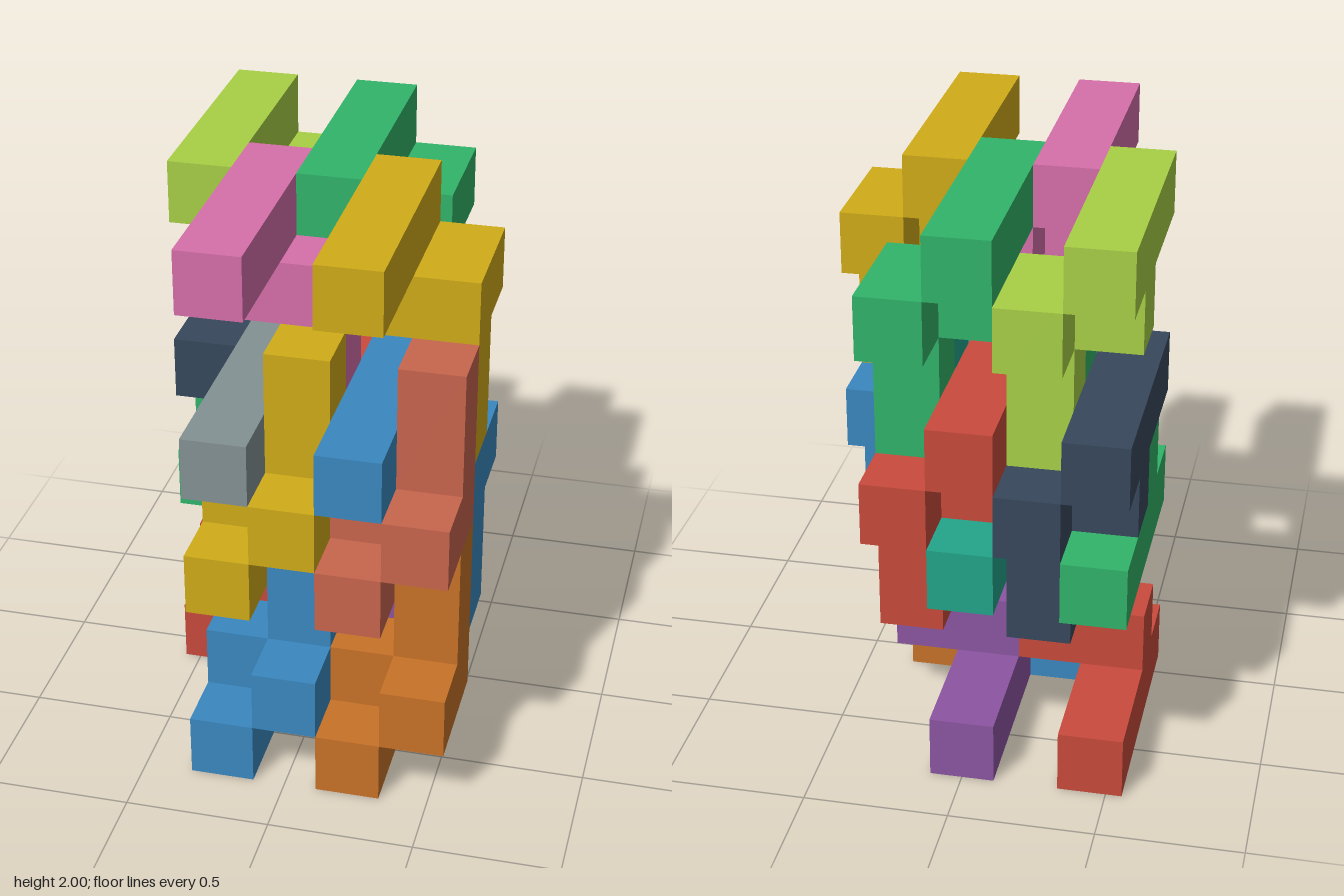
import * as THREE from 'three';
import { mergeGeometries } from 'three/addons/utils/BufferGeometryUtils.js';

const U = 2 / 9; // edge of one cube cell

// One-cell-thick slab: outline given as [z, y] cells, spanning x0..x0+1
function slab(outline, x0) {
  const shape = new THREE.Shape(outline.map(([z, y]) => new THREE.Vector2(z, y)));
  return new THREE.ExtrudeGeometry(shape, { depth: 1, bevelEnabled: false })
    .rotateY(-Math.PI / 2)
    .translate(x0 + 1, 0, 0);
}

// Interlocking piece, origin at the centre of its bar
function pieceGeometry() {
  // bar with a connecting stub on top
  const bar = slab([[-2, -0.5], [2, -0.5], [2, 0.5], [1, 0.5], [1, 1.5], [0, 1.5], [0, 0.5], [-2, 0.5]], 0);
  // L-shaped hook beside the stub
  const hook = slab([[0, 0.5], [2, 0.5], [2, 1.5], [1, 1.5], [1, 3.5], [0, 3.5]], 1);
  return mergeGeometries([bar, hook]).scale(U, U, U);
}

const RED = 0xc94a3c, BLUE = 0x3a88c0, PURPLE = 0x8c55a2, ORANGE = 0xc87228;
const GREEN = 0x32b46a, YELLOW = 0xd0ac18, TEAL = 0x22a58a, SALMON = 0xc8664e;
const NAVY = 0x37485c, GREY = 0x849294, LIME = 0xa8d046, PINK = 0xd66faa;

// Each layer: height of its bars, whether hooks point down, colours by column
const LAYERS = [
  { name: 'bottomPiece', row: 0, down: false, colors: [RED, BLUE, PURPLE, ORANGE] },
  { name: 'lowerMiddlePiece', row: 3, down: false, colors: [GREEN, YELLOW, TEAL, SALMON] },
  { name: 'upperMiddlePiece', row: 5, down: true, colors: [NAVY, GREY, RED, BLUE] },
  { name: 'topPiece', row: 8, down: true, colors: [LIME, PINK, GREEN, YELLOW] },
];

export function createModel() {
  const model = new THREE.Group();
  model.name = 'interlockingPuzzle';
  const geometry = pieceGeometry();

  for (const { name, row, down, colors } of LAYERS) {
    colors.forEach((color, column) => {
      const piece = new THREE.Mesh(geometry, new THREE.MeshStandardMaterial({ color }));
      piece.name = `${name}${column + 1}`;
      // columns alternate between the back and front halves
      const z = column % 2 ? 1.5 : -1.5;
      piece.position.set((column - 2.5) * U, (row + 0.5) * U, z * U);
      if (down) piece.rotation.x = Math.PI;
      model.add(piece);
    });
  }
  return model;
}
